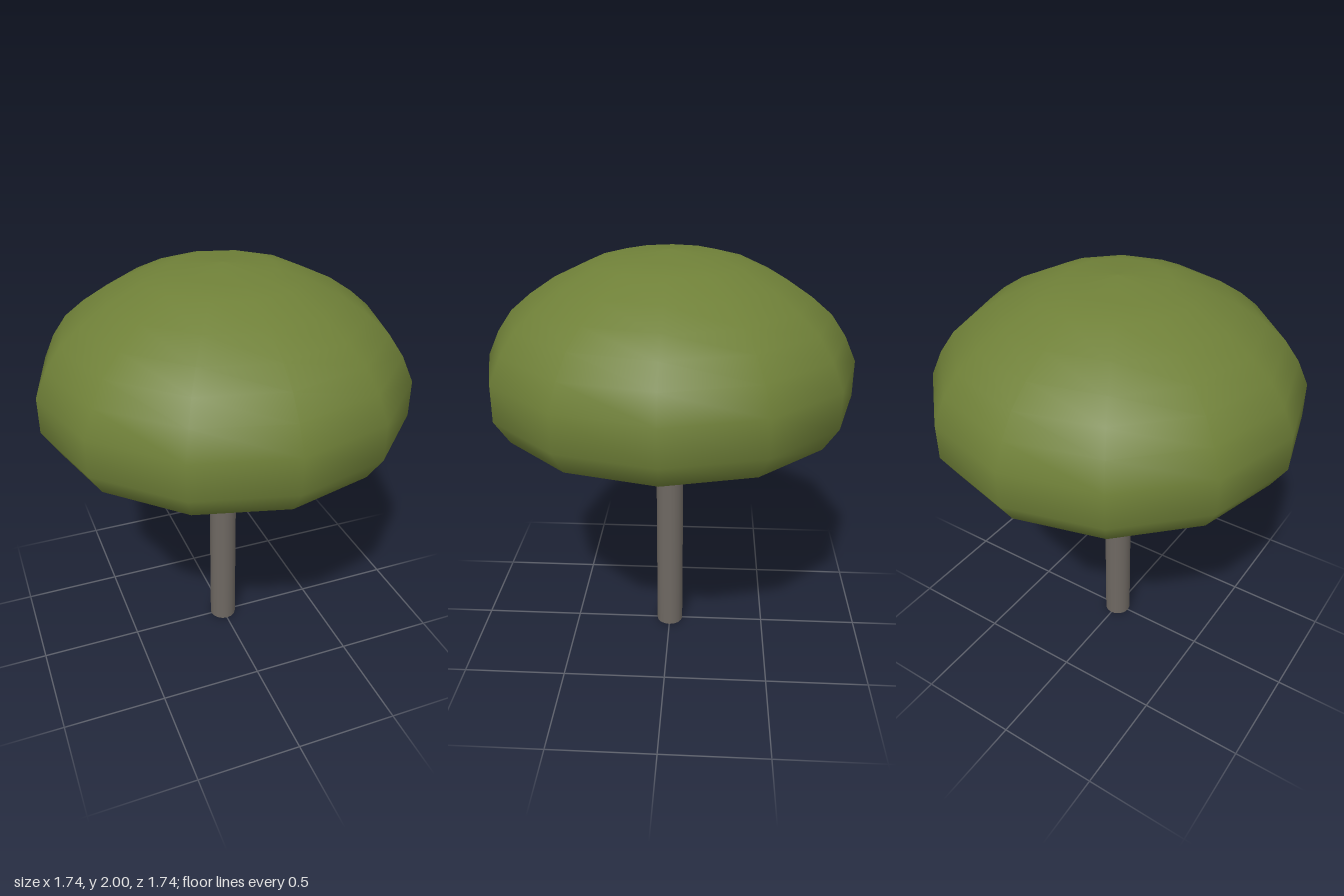
import * as THREE from 'three';

export function createModel() {
  const group = new THREE.Group();
  const add = (name, geometry, color) => {
    const mesh = new THREE.Mesh(geometry, new THREE.MeshStandardMaterial({ color }));
    mesh.name = name;
    group.add(mesh);
    return mesh;
  };

  // Straight round trunk, ending just inside the canopy
  add('trunk', new THREE.CylinderGeometry(0.068, 0.068, 1.1, 16), 0x6e6862).position.y = 0.55;

  // Twelve-sided domed canopy with a shallow underside, profile from bottom to top
  const profile = [
    [0, 1.045], [0.37, 1.07], [0.64, 1.13], [0.8, 1.21], [0.87, 1.32], [0.87, 1.49],
    [0.815, 1.61], [0.745, 1.71], [0.65, 1.79], [0.53, 1.87], [0.37, 1.945], [0.24, 1.98], [0, 2],
  ].map(([r, y]) => new THREE.Vector2(r, y));
  add('canopy', new THREE.LatheGeometry(profile, 12), 0x6f8038);

  return group;
}
